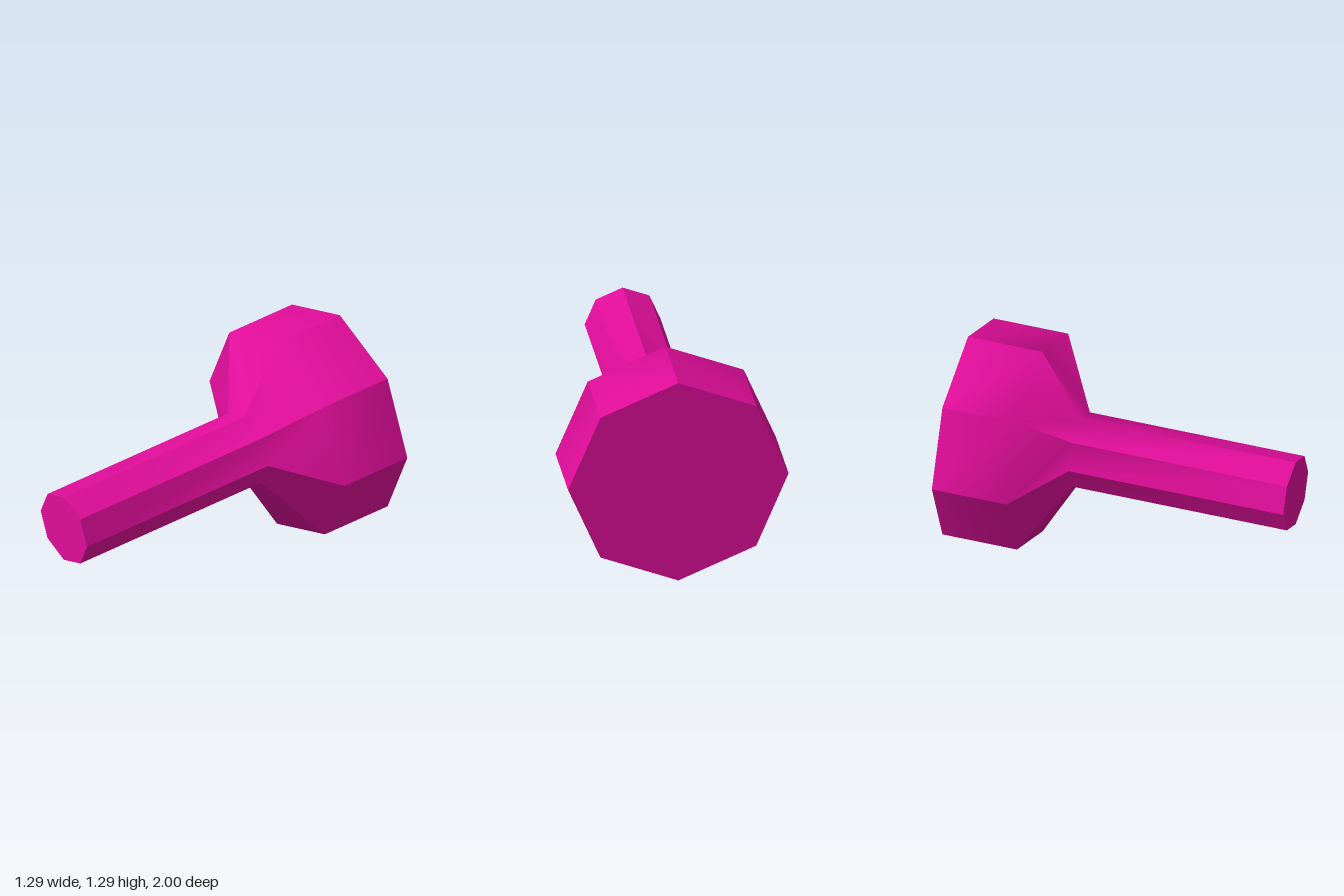
import * as THREE from 'three';

const SIDES = 8;
const CENTER_Y = 0.645;
// Profile from the handle tip to the back of the head: [radius, z]
const PROFILE = [[0.222, 1], [0.222, -0.31], [0.645, -0.545], [0.645, -1]];

// Eight facets, smooth along their length and sharp between neighbours
function facetedBody(profile) {
  const positions = [];
  const index = [];
  for (let i = 0; i < SIDES; i++) {
    const base = positions.length / 3;
    profile.forEach(([r, z], row) => {
      for (const k of [i, i + 1]) {
        const a = (k / SIDES) * Math.PI * 2;
        positions.push(r * Math.cos(a), r * Math.sin(a), z);
      }
      if (row > 0) {
        const n = base + row * 2;
        index.push(n - 2, n, n + 1, n - 2, n + 1, n - 1);
      }
    });
  }
  const geometry = new THREE.BufferGeometry();
  geometry.setAttribute('position', new THREE.Float32BufferAttribute(positions, 3));
  geometry.setIndex(index);
  geometry.computeVertexNormals();
  return geometry;
}

export function createModel() {
  const group = new THREE.Group();
  group.name = 'mallet';
  const magenta = new THREE.MeshStandardMaterial({ color: 0xe00d9a });
  magenta.name = 'magenta';

  const add = (name, geometry, z = 0) => {
    const mesh = new THREE.Mesh(geometry, magenta);
    mesh.name = name;
    mesh.position.set(0, CENTER_Y, z);
    group.add(mesh);
    return mesh;
  };

  // Handle, flared neck and head in one skin
  add('handleAndHead', facetedBody(PROFILE));

  // Flat ends
  add('handleEnd', new THREE.CircleGeometry(0.222, SIDES), 1);
  add('headBack', new THREE.CircleGeometry(0.645, SIDES), -1).rotation.y = Math.PI;

  return group;
}
